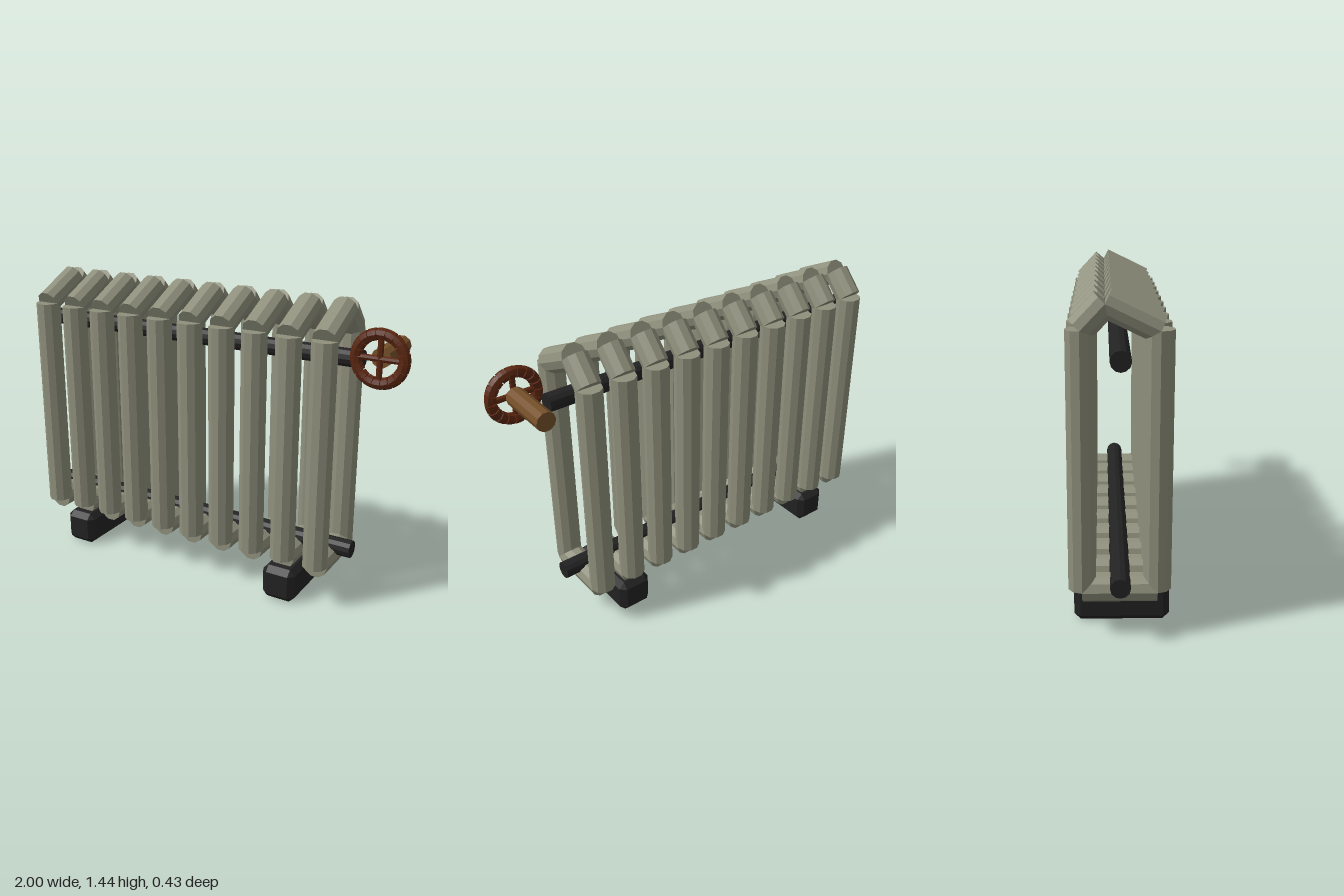
import * as THREE from 'three';
import { ConvexGeometry } from 'three/addons/geometries/ConvexGeometry.js';

function material(name, color) {
  const m = new THREE.MeshStandardMaterial({ color, flatShading: true });
  m.name = name;
  return m;
}

// Faceted rod between two points
function rod(name, a, b, radius, sides, mat) {
  const from = new THREE.Vector3(...a);
  const to = new THREE.Vector3(...b);
  const dir = to.clone().sub(from);
  const geo = new THREE.CylinderGeometry(radius, radius, dir.length(), sides, 1, false, Math.PI / 2);
  const mesh = new THREE.Mesh(geo, mat);
  mesh.name = name;
  mesh.position.copy(from).add(to).multiplyScalar(0.5);
  mesh.quaternion.setFromUnitVectors(new THREE.Vector3(0, 1, 0), dir.normalize());
  return mesh;
}

// Box with single chamfered edges
function chamferBox(w, h, d, c) {
  const points = [];
  for (const x of [-1, 1]) for (const y of [-1, 1]) for (const z of [-1, 1]) {
    for (let axis = 0; axis < 3; axis++) {
      const inset = [c, c, c];
      inset[axis] = 0;
      points.push(new THREE.Vector3(
        x * (w / 2 - inset[0]), y * (h / 2 - inset[1]), z * (d / 2 - inset[2])));
    }
  }
  return new ConvexGeometry(points);
}

export function createModel() {
  const model = new THREE.Group();
  model.name = 'radiator';
  const enamel = material('grey green enamel', 0x8f907c);
  const iron = material('black iron', 0x222222);
  const brass = material('dull brass', 0x75502a);
  const rust = material('rust brown', 0x5a2610);

  // Radiator sections: closed loops of ten-sided tube
  const loop = [
    [0.21, 0.153], [1.29, 0.153], [1.393, -0.058], [1.29, -0.155], [0.21, -0.155],
  ];
  const parts = ['frontColumn', 'frontTopTube', 'backTopTube', 'backColumn', 'bottomTube'];
  for (let i = 0; i < 10; i++) {
    const section = new THREE.Group();
    section.name = 'section';
    const x = -0.885 + i * 0.1695;
    loop.forEach((p, k) => {
      const q = loop[(k + 1) % loop.length];
      section.add(rod(parts[k], [x, ...p], [x, ...q], 0.06, 10, enamel));
    });
    model.add(section);
  }

  // Connecting pipes
  model.add(rod('upperPipe', [-1, 1.187, 0], [0.76, 1.187, 0], 0.042, 12, iron));
  model.add(rod('lowerPipe', [-1, 0.258, 0], [0.76, 0.258, 0], 0.042, 12, iron));

  // Feet
  for (const x of [-0.716, 0.473]) {
    const foot = new THREE.Mesh(chamferBox(0.168, 0.17, 0.408, 0.028), iron);
    foot.name = 'foot';
    foot.position.set(x, 0.085, 0.01);
    model.add(foot);
  }

  // Valve: stem and handwheel
  const valve = new THREE.Group();
  valve.name = 'valve';
  valve.position.set(0.864, 1.224, 0.084);
  valve.add(rod('stem', [0, 0, -0.274], [0, 0, -0.012], 0.045, 10, brass));

  const rim = new THREE.Mesh(new THREE.TorusGeometry(0.111, 0.02, 8, 36), rust);
  rim.name = 'rim';
  valve.add(rim);

  // Raised grips around the rim, capped at both ends
  const grips = 18;
  const step = (Math.PI * 2) / grips;
  const arc = step * 0.84;
  for (let i = 0; i < grips; i++) {
    const grip = new THREE.Group();
    grip.name = 'grip';
    grip.rotation.z = i * step;
    grip.add(new THREE.Mesh(new THREE.TorusGeometry(0.108, 0.027, 8, 2, arc), rust));
    for (const [angle, turn] of [[0, Math.PI / 2], [arc, -Math.PI / 2]]) {
      const cap = new THREE.Mesh(new THREE.CircleGeometry(0.027, 8), rust);
      cap.position.set(0.108 * Math.cos(angle), 0.108 * Math.sin(angle), 0);
      cap.rotation.set(turn, 0, angle, 'ZYX');
      grip.add(cap);
    }
    grip.children.forEach((m) => { m.name = 'gripPart'; });
    valve.add(grip);
  }

  // Crossed spokes
  valve.add(rod('spoke', [-0.1, 0, 0], [0.1, 0, 0], 0.014, 8, rust));
  valve.add(rod('spoke', [0, -0.1, 0], [0, 0.1, 0], 0.014, 8, rust));
  model.add(valve);

  return model;
}
